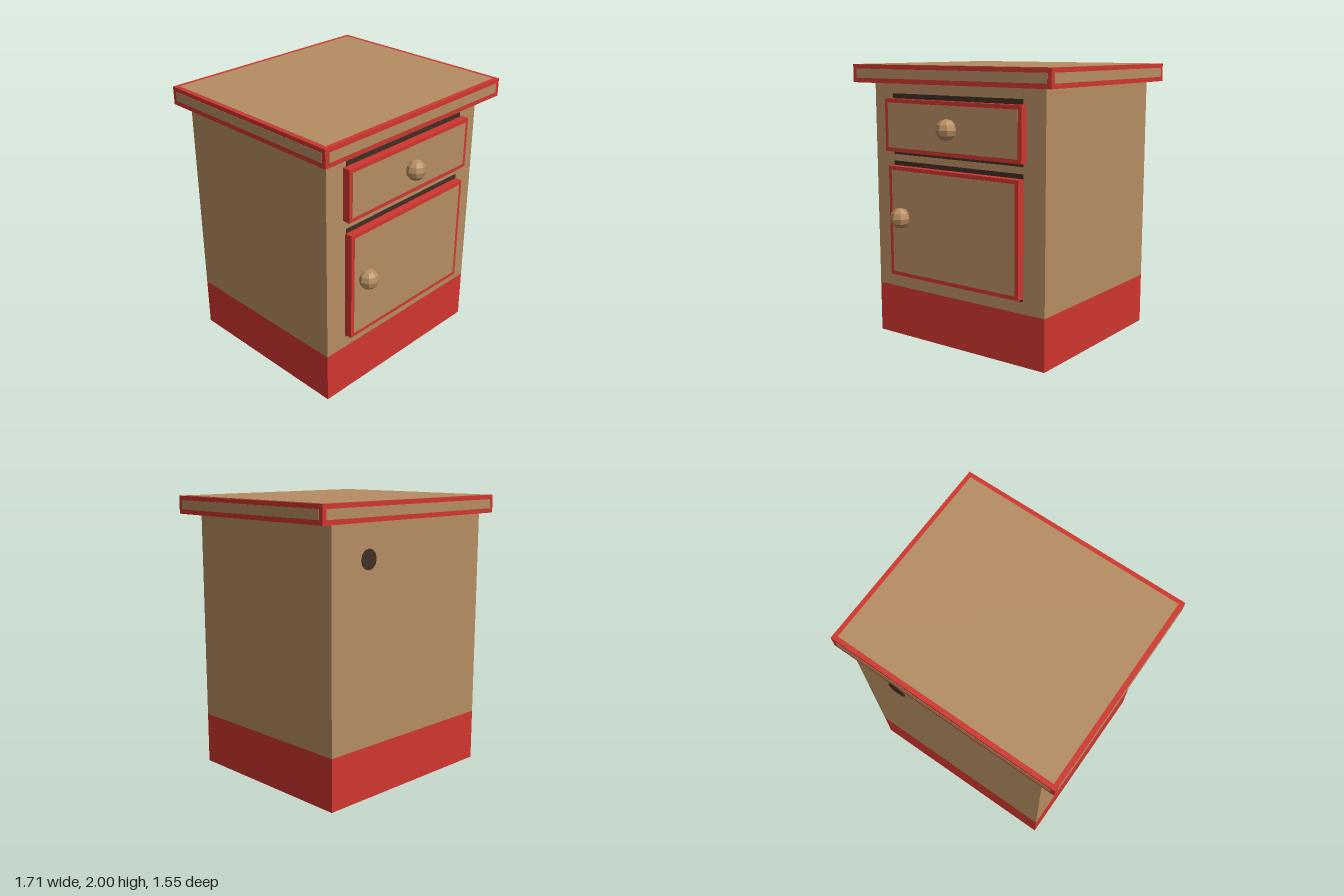
import * as THREE from 'three';

export function createModel() {
  const model = new THREE.Group();
  model.name = 'bedsideCabinet';

  const mat = (name, color, flatShading = false) => {
    const m = new THREE.MeshStandardMaterial({ color, flatShading });
    m.name = name;
    return m;
  };
  const wood = mat('wood', 0xb58d61);
  const red = mat('redTrim', 0xd0362e);
  const dark = mat('darkGap', 0x402f23);
  const knobWood = wood.clone();
  knobWood.name = 'knobWood';
  knobWood.flatShading = true;

  // Box given by its minimum and maximum corners
  const box = (name, material, [x0, y0, z0], [x1, y1, z1]) => {
    const mesh = new THREE.Mesh(new THREE.BoxGeometry(x1 - x0, y1 - y0, z1 - z0), material);
    mesh.position.set((x0 + x1) / 2, (y0 + y1) / 2, (z0 + z1) / 2);
    mesh.name = name;
    model.add(mesh);
    return mesh;
  };

  const T = 0.004; // thickness of inlaid panels
  const FRONT = 0.61, BACK = -0.735;

  // Red plinth and wooden carcass
  box('plinth', red, [-0.745, 0, BACK], [0.745, 0.37, FRONT]);
  box('carcass', wood, [-0.745, 0.37, BACK], [0.745, 1.87, FRONT]);

  // Red tabletop with wooden inlays on the top and all four edges
  const a = [-0.855, 1.87, -0.772], b = [0.855, 2, 0.72], r = 0.032;
  box('tabletop', red, a, [b[0], b[1] - T / 2, b[2]]);
  box('tabletopInlay', wood, [a[0] + r, b[1] - T, a[2] + r], [b[0] - r, b[1], b[2] - r]);
  for (const z of [a[2], b[2]])
    box('tabletopEdgeInlay', wood, [a[0] + r, a[1] + r, z - T / 2], [b[0] - r, b[1] - r, z + T / 2]);
  for (const x of [a[0], b[0]])
    box('tabletopSideInlay', wood, [x - T / 2, a[1] + r, a[2] + r], [x + T / 2, b[1] - r, b[2] - r]);

  // Drawer and door: dark opening, red-framed front, wooden panel, faceted knob
  const knobGeo = new THREE.SphereGeometry(0.074, 8, 6);
  const fronts = [
    { name: 'drawer', x: [-0.598, 0.595], y: [1.385, 1.76], gap: [1.36, 1.795], knob: [0, 1.572] },
    { name: 'door', x: [-0.575, 0.572], y: [0.475, 1.28], gap: [0.455, 1.312], knob: [-0.443, 0.915] },
  ];
  for (const { name, x, y, gap, knob } of fronts) {
    const f = 0.028, face = 0.67;
    box(name + 'Opening', dark, [-0.57, gap[0], FRONT - T], [0.57, gap[1], FRONT + T]);
    box(name + 'Frame', red, [x[0], y[0], FRONT], [x[1], y[1], face - T / 2]);
    box(name + 'Panel', wood, [x[0] + f, y[0] + f, face - T], [x[1] - f, y[1] - f, face]);
    const mesh = new THREE.Mesh(knobGeo, knobWood);
    mesh.name = name + 'Knob';
    mesh.position.set(knob[0], knob[1], 0.701);
    model.add(mesh);
  }

  // Round cable hole in the back
  const hole = new THREE.Mesh(new THREE.CylinderGeometry(0.07, 0.07, 0.008, 12), dark);
  hole.name = 'cableHole';
  hole.rotation.x = Math.PI / 2;
  hole.position.set(0.415, 1.63, BACK);
  model.add(hole);

  return model;
}
